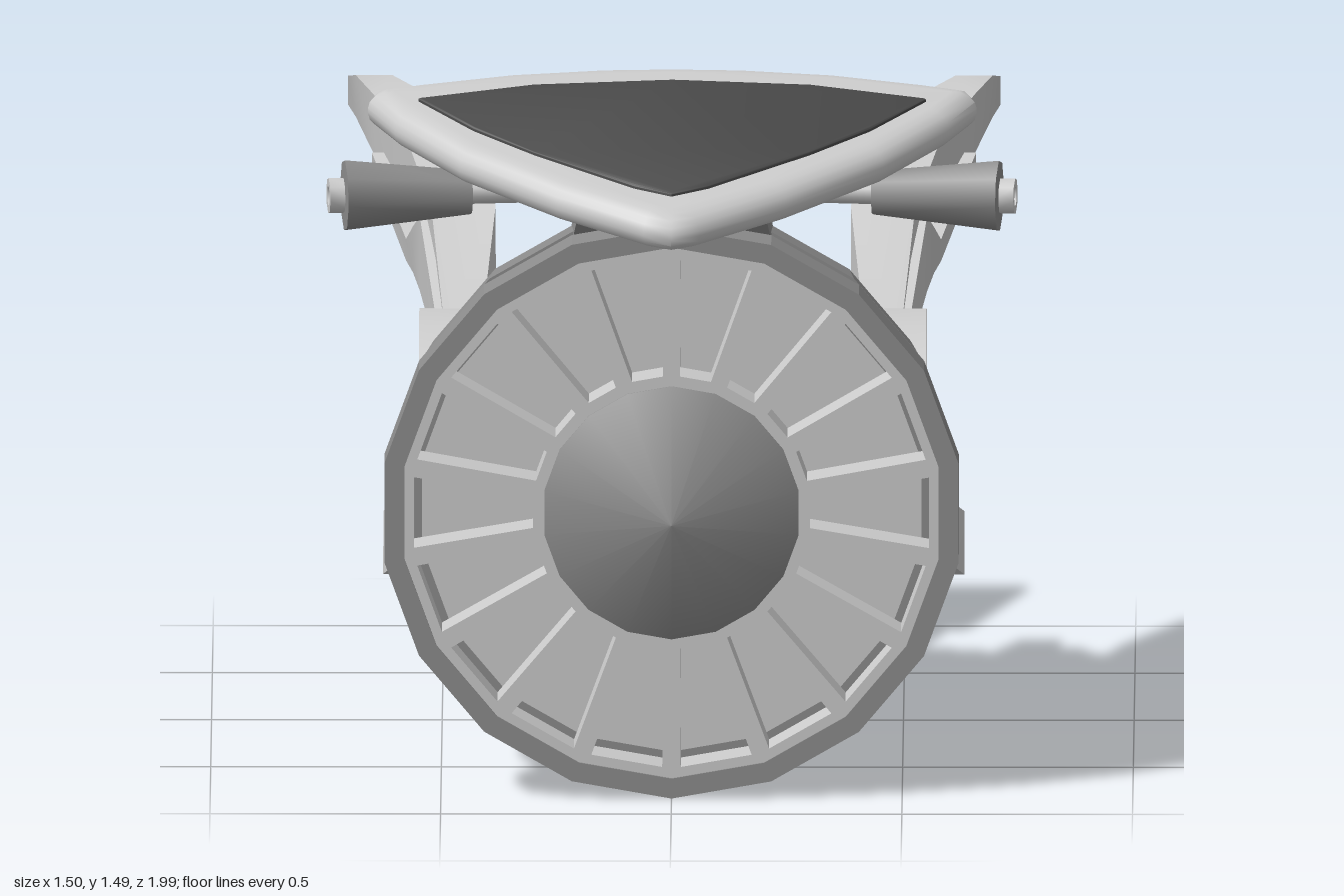
import * as THREE from 'three';
import { toCreasedNormals } from 'three/addons/utils/BufferGeometryUtils.js';

const CY = 0.635; // height of the body axis
const V = (x, y, z) => new THREE.Vector3(x, y, z);
const paint = (color) => new THREE.MeshStandardMaterial({ color, side: THREE.DoubleSide });
const light = paint(0xcccccc), mid = paint(0x8c8c8c), dark = paint(0x484848);

// Hull rings, front to tail: [z, radius, half-angle of the cockpit opening]
const RINGS = [[0.45, 0.575, 0.25], [0.38, 0.565, 0.25], [0.34, 0.558, 0.38], [0.27, 0.547, 0.49], [0.2, 0.535, 0.53],
  [0.1, 0.512, 0.565], [0, 0.475, 0.61], [-0.08, 0.435, 0.63], [-0.14, 0.397, 0.6], [-0.17, 0.375, 0.48],
  [-0.25, 0.31, 0.5], [-0.34, 0.2, 0.5], [-0.41, 0.1, 0.5], [-0.43, 0.05, 0.5], [-0.435, 0, 0.5]];

function hullRadius(z) {
  const i = RINGS.findIndex((r) => r[0] < z);
  const [z0, r0] = RINGS[i - 1], [z1, r1] = RINGS[i];
  return r0 + ((r1 - r0) * (z - z0)) / (z1 - z0);
}

function add(parent, name, geo, mat, x = 0, y = 0, z = 0) {
  const m = new THREE.Mesh(geo, mat);
  m.name = name;
  m.position.set(x, y, z);
  parent.add(m);
  return m;
}

// Surface through rows of points, each row a closed loop
function loft(rows, skip = () => false) {
  const n = rows[0].length, idx = [];
  for (let i = 0; i < rows.length - 1; i++) for (let j = 0; j < n; j++) {
    if (skip(i, j)) continue;
    const a = i * n + j, b = i * n + (j + 1) % n;
    idx.push(a, b, a + n, b, b + n, a + n);
  }
  const g = new THREE.BufferGeometry().setFromPoints(rows.flat());
  g.setIndex(idx);
  g.computeVertexNormals();
  return g;
}

const lathe = (pts, seg, crease = 0.5) =>
  toCreasedNormals(new THREE.LatheGeometry(pts.map((p) => new THREE.Vector2(...p)), seg), crease);
const latheZ = (pts, seg, crease) => lathe(pts, seg, crease).rotateX(Math.PI / 2);

// Lathed part standing on point a and aimed at point b
function aimed(parent, name, profile, seg, mat, a, b) {
  const m = add(parent, name, lathe(profile, seg, 0.9), mat, a.x, a.y, a.z);
  m.quaternion.setFromUnitVectors(V(0, 1, 0), b.clone().sub(a).normalize());
}

// Bent blade: stations of [top z, top y, bottom z, bottom y, centre x, thickness]
function blade(stations) {
  const rows = stations.map(([zt, yt, zb, yb, x, t]) => [
    V(x - t / 2, yt, zt), V(x + t / 2, yt, zt), V(x + t / 2, yb, zb), V(x - t / 2, yb, zb)]);
  const cap = (r) => {
    const c = r.reduce((s, p) => s.add(p), V(0, 0, 0)).divideScalar(4);
    return r.map(() => c.clone());
  };
  return toCreasedNormals(loft([cap(rows[0]), ...rows, cap(rows.at(-1))]), 0.8);
}

// Symmetric flat slab from half an outline of [x, z], laid on a slope
function slab(half, depth, bevel, y0) {
  const pts = [...half, ...half.slice(1, -1).reverse().map(([x, z]) => [-x, z])];
  const g = new THREE.ExtrudeGeometry(new THREE.Shape(pts.map(([x, z]) => new THREE.Vector2(x, -z))), {
    depth, bevelSize: bevel, bevelThickness: bevel * 0.75, bevelOffset: -bevel, bevelSegments: 4 });
  g.rotateX(-Math.PI / 2);
  const p = g.attributes.position;
  for (let i = 0; i < p.count; i++) p.setY(i, p.getY(i) + y0 + 0.23 * (0.97 - p.getZ(i)));
  return toCreasedNormals(g, 0.9);
}

// Box whose corners are moved by a rule(x, y, z) => [x, y, z]
function shapedBox(rule) {
  const g = new THREE.BoxGeometry(2, 2, 2), p = g.attributes.position;
  for (let i = 0; i < p.count; i++) p.setXYZ(i, ...rule(p.getX(i), p.getY(i), p.getZ(i)));
  g.computeVertexNormals();
  return g;
}

// Rounded shell with an open cockpit on top
function buildHull(parent) {
  const N = 40, C = 8;
  const rows = RINGS.map(([z, r, a]) => Array.from({ length: N }, (_, j) => {
    const t = j <= C ? -a + (2 * a * j) / C : a + ((2 * Math.PI - 2 * a) * (j - C)) / (N - C);
    return V(r * Math.sin(t), CY + r * Math.cos(t), z);
  }));
  add(parent, 'hull', loft(rows, (i, j) => i >= 1 && i < 9 && j < C), mid);

  // Seat head: pointed to the rear, narrow to the front, on a post
  const outline = [[0, -0.13], [0.08, -0.09], [0.13, -0.01], [0.1, 0.1], [0.06, 0.165], [0, 0.18],
    [-0.06, 0.165], [-0.1, 0.1], [-0.13, -0.01], [-0.08, -0.09]].reverse();
  const layers = [[0, 0.87], [0.75, 0.87], [1, 0.93], [0.95, 1], [0.65, 1.04], [0, 1.045]].reverse();
  add(parent, 'seatHead', toCreasedNormals(loft(layers.map(([s, y]) => outline.map(([x, z]) => V(x * s, y, z * s)))), 0.9), light);
  add(parent, 'seatPost', new THREE.CylinderGeometry(0.06, 0.07, 0.68, 10), mid, 0, 0.54, 0.03);
}

function buildFront(parent) {
  add(parent, 'frontRing', latheZ([[0.55, 0.73], [0.632, 0.73], [0.632, 0.835], [0.588, 0.835], [0.588, 0.74]], 18, 0.2), mid, 0, CY, 0);
  add(parent, 'band', latheZ([[0.57, 0.57], [0.578, 0.74]], 18), light, 0, CY - 0.005, 0);
  add(parent, 'rearRing', latheZ([[0.55, 0.41], [0.597, 0.41], [0.615, 0.58], [0.56, 0.58]], 18, 0.2), mid, 0, CY - 0.005, 0);

  // Intake plate with a slot behind each flat of its rim
  const plate = new THREE.Shape();
  for (let i = 0; i < 18; i++) {
    const a = (i * Math.PI) / 9, x = 0.59 * Math.sin(a), y = -0.59 * Math.cos(a);
    i ? plate.lineTo(x, y) : plate.moveTo(x, y);
    const slot = [[0.3, -0.034], [0.3, 0.034], [0.558, 0.078], [0.558, -0.078]].map(([r, w]) =>
      new THREE.Vector2(r * Math.cos(a) - w * Math.sin(a), r * Math.sin(a) + w * Math.cos(a)));
    plate.holes.push(new THREE.Path(slot));
  }
  add(parent, 'intakePlate', new THREE.ExtrudeGeometry(plate, { depth: 0.1, bevelEnabled: false }), light, 0, CY, 0.73);
  add(parent, 'intakeFloor', new THREE.CircleGeometry(0.572, 18, Math.PI / 18), light, 0, CY, 0.71);
  add(parent, 'noseCone', latheZ([[0.28, 0.8], [0.28, 0.833], [0, 0.972]], 18, 0.8), mid, 0, CY, 0);
}

function buildCanopy(parent) {
  add(parent, 'canopyRim', slab([[0, 0.995], [0.06, 0.97], [0.25, 0.835], [0.46, 0.645], [0.6, 0.46], [0.66, 0.35],
    [0.645, 0.31], [0.55, 0.28], [0.35, 0.23], [0.15, 0.205], [0, 0.2]], 0.01, 0.05, 1.277), light);
  add(parent, 'canopyPanel', slab([[0, 0.88], [0.08, 0.84], [0.3, 0.67], [0.43, 0.55], [0.55, 0.4],
    [0.3, 0.33], [0, 0.305]], 0.02, 0.006, 1.309), dark);
  // Pedestal leaning forward under the canopy
  add(parent, 'pedestal', shapedBox((x, y, z) => (y > 0
    ? [x * 0.19, z > 0 ? 1.33 : 1.39, z > 0 ? 0.72 : 0.4]
    : [x * 0.22, 1.17, z > 0 ? 0.6 : 0.41])), mid);
}

// Everything that exists once per side, built on +x
function buildSide(parent) {
  const side = new THREE.Group();
  side.name = 'sideParts';
  parent.add(side);

  // Round hub whose inner end follows the hull
  const hub = lathe([[0.25, 0.15], [0.25, 0.55], [0.1, 0.55], [0.1, 0.5], [0.03, 0.5], [0.03, 0.54], [0, 0.54]], 16);
  hub.rotateZ(-Math.PI / 2).translate(0, 0.645, -0.09);
  const p = hub.attributes.position;
  for (let i = 0; i < p.count; i++) {
    if (p.getX(i) < 0.2) p.setX(i, Math.sqrt(Math.max(0, hullRadius(p.getZ(i)) ** 2 - (p.getY(i) - CY) ** 2)) - 0.01);
  }
  add(side, 'hub', hub, light);
  add(side, 'hubBlock', shapedBox((x, y, z) => (z > 0
    ? [0.56 + x * 0.03, 0.637 + y * 0.065, 0.325] : [0.53 + x * 0.035, 0.638 + y * 0.083, 0.14])), light);

  // Swept fins, each with a stepped strip along its trailing edge
  add(side, 'upperFin', blade([[-0.1, 0.85, -0.24, 0.74, 0.455, 0.08], [-0.25, 1.09, -0.36, 0.88, 0.455, 0.14],
    [-0.5, 1.175, -0.56, 1, 0.505, 0.14], [-0.68, 1.245, -0.74, 1.1, 0.59, 0.12],
    [-0.77, 1.27, -0.83, 1.165, 0.65, 0.08], [-0.79, 1.265, -0.845, 1.19, 0.675, 0.065]]), light);
  add(side, 'upperFinStrip', blade([[-0.14, 0.87, -0.27, 0.77, 0.48, 0.07], [-0.33, 1.05, -0.4, 0.87, 0.5, 0.1],
    [-0.36, 1.02, -0.45, 0.9, 0.515, 0.1], [-0.42, 0.98, -0.48, 0.92, 0.53, 0.1], [-0.67, 1.12, -0.73, 1.065, 0.62, 0.07]]), light);
  add(side, 'lowerFin', blade([[-0.26, 0.56, -0.16, 0.48, 0.46, 0.07], [-0.4, 0.46, -0.26, 0.38, 0.46, 0.12],
    [-0.53, 0.405, -0.4, 0.295, 0.505, 0.12], [-0.7, 0.32, -0.58, 0.205, 0.585, 0.09], [-0.7, 0.29, -0.64, 0.205, 0.6, 0.06]]), light);
  add(side, 'lowerFinStrip', blade([[-0.29, 0.65, -0.24, 0.52, 0.48, 0.08], [-0.4, 0.57, -0.35, 0.46, 0.5, 0.08],
    [-0.53, 0.475, -0.5, 0.4, 0.535, 0.06]]), light);

  // Side gun on its rod
  const inner = V(0, 1.28, 0.47), tip = V(0.75, 1.28, 0.56);
  aimed(side, 'gunRod', [[0.025, 0], [0.025, 0.5]], 10, light, inner, tip);
  aimed(side, 'gunPod', [[0, 0.44], [0.05, 0.44], [0.08, 0.715], [0, 0.72]], 8, mid, inner, tip);
  aimed(side, 'gunCap', [[0.04, 0.7], [0.04, 0.75], [0.022, 0.75], [0.022, 0.73], [0, 0.73]], 8, light, inner, tip);

  // Bolts on the band and clip on the rear ring
  for (const a of [0.98, -0.98]) {
    const out = V(Math.cos(a), Math.sin(a), 0), base = V(0, CY, 0.655).addScaledVector(out, 0.55);
    aimed(side, 'bolt', [[0.043, 0], [0.043, 0.045], [0, 0.045]], 10, light, base, base.clone().add(out));
  }
  const clip = add(side, 'clip', new THREE.BoxGeometry(0.05, 0.09, 0.19), light, 0.572, 0.43, 0.497);
  clip.rotation.z = -0.35;
  return side;
}

// Tail barrel: thin neck from a, hollow muzzle between b and c
function buildCannon(parent, name, a, b, c, neck, r) {
  const len = b.distanceTo(c);
  aimed(parent, name + 'Neck', [[neck, 0], [neck, a.distanceTo(b) + 0.02]], 14, dark, a, b);
  aimed(parent, name + 'Barrel', [[0, 0], [r * 0.94, 0], [r, 0.025], [r, len], [r * 0.66, len], [r * 0.66, len - 0.2], [0, len - 0.2]], 14, dark, b, c);
}

export function createModel() {
  const model = new THREE.Group();
  model.name = 'podShip';
  buildHull(model);
  buildFront(model);
  buildCanopy(model);
  buildSide(model);
  buildSide(model).scale.x = -1;
  buildCannon(model, 'upperCannon', V(0, 0.61, -0.34), V(0, 0.75, -0.592), V(0, 0.952, -0.937), 0.084, 0.12);
  buildCannon(model, 'lowerCannon', V(0, 0.46, -0.33), V(0, 0.513, -0.575), V(0, 0.577, -0.862), 0.064, 0.098);
  return model;
}
